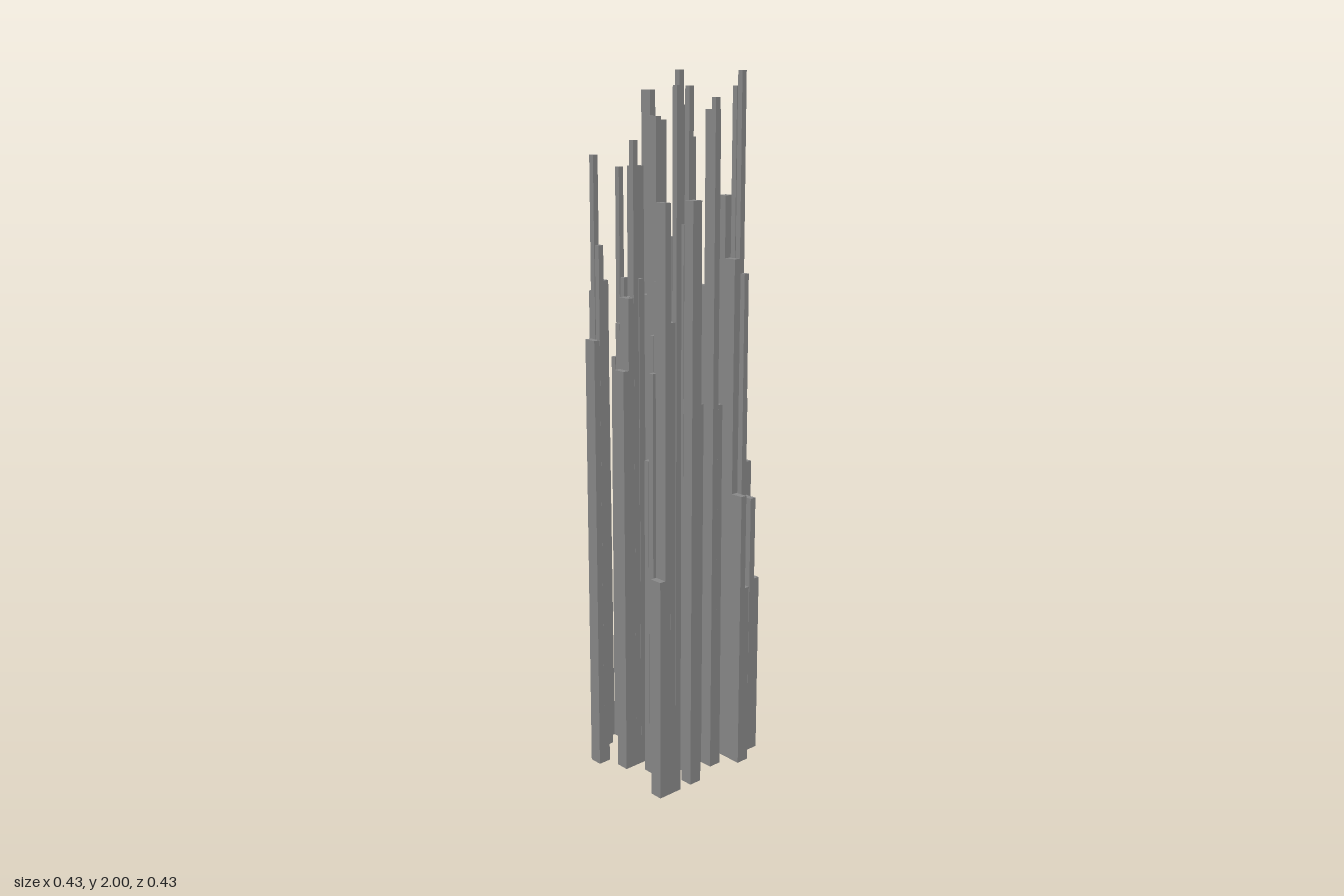
import * as THREE from 'three';

const CELL = 0.0387;
const HALF = CELL / 2;
const TAPER = 0.82;

// Each entry: grid column, grid row, then heights.
const blocks = [[6, 0, 0.94], [7, 1, 1.37], [4, 2, 1.13]];
const spires = [[3, 0, 1.13], [3, 3, 1.2], [9, 3, 1.82], [3, 4, 1.75], [8, 8, 1.67], [3, 10, 1.67]];
// Left half, right half
const pairs = [
  [8, 0, 1.95, 1.43], [2, 1, 1.4, 1.43], [10, 2, 1.5, 1.55], [8, 3, 1.45, 1.86],
  [5, 4, 1.88, 1.87], [10, 4, 1.4, 1.14], [1, 5, 1.2, 1.4], [6, 6, 1.2, 0.8],
  [5, 8, 1.0, 1.1], [10, 8, 1.09, 0.9], [10, 9, 0.8, 0.55], [0, 10, 0.65, 1.67],
];
// Left half, right back quarter, right front quarter
const triples = [
  [0, 3, 1.28, 1.78, 1.54], [4, 7, 1.2, 1.3, 1.1], [8, 7, 1.2, 1.4, 1.3],
  [10, 7, 1.09, 1.78, 1.1], [6, 9, 1.9, 1.93, 1.1], [8, 9, 1.5, 1.96, 2.0],
  [8, 10, 0.83, 1.46, 0.55], [9, 8, 1.36, 1.46, 1.36],
];
// Left back, left front, right back, right front quarters
const quads = [
  [4, 1, 1.2, 1.3, 1.74, 1.43], [7, 4, 1.2, 1.37, 1.3, 1.91], [8, 4, 1.5, 1.4, 1.3, 1.6],
  [2, 5, 1.4, 1.82, 1.2, 1.45], [2, 7, 0.95, 1.2, 1.3, 1.45], [4, 8, 2.0, 1.6, 1.2, 1.5],
  [4, 9, 1.96, 1.15, 0.9, 1.1], [1, 10, 1.5, 1.36, 1.58, 1.96],
];

export function createModel() {
  const model = new THREE.Group();
  model.name = 'towerCluster';
  const concrete = new THREE.MeshStandardMaterial({ color: 0x8a8a8a });
  concrete.name = 'concrete grey';
  const light = new THREE.MeshStandardMaterial({ color: 0xe0d020 });
  light.name = 'window yellow';

  // One shaft, optionally narrowing towards its top
  function shaft(name, x, z, w, d, h, scale = 1) {
    const geo = new THREE.BoxGeometry(w, h, d).translate(0, h / 2, 0);
    const p = geo.attributes.position;
    for (let i = 0; i < p.count; i++) {
      if (p.getY(i) > h / 2) p.setXYZ(i, p.getX(i) * scale, h, p.getZ(i) * scale);
    }
    geo.computeVertexNormals();
    const mesh = new THREE.Mesh(geo, concrete);
    mesh.name = name;
    mesh.position.set(x, 0, z);
    model.add(mesh);
  }
  const at = (i) => (i - 5) * CELL;
  const q = HALF / 2;
  const quarter = (c, r, sx, sz, h) =>
    shaft('quarterTower', at(c) + sx * q, at(r) + sz * q, HALF, HALF, h, TAPER);
  const half = (c, r, sx, h) => shaft('halfTower', at(c) + sx * q, at(r), HALF, CELL, h);

  for (const [c, r, h] of blocks) shaft('blockTower', at(c), at(r), CELL, CELL, h);
  for (const [c, r, h] of spires) shaft('taperedTower', at(c), at(r), CELL, CELL, h, TAPER);
  for (const [c, r, left, right] of pairs) {
    half(c, r, -1, left);
    half(c, r, 1, right);
  }
  for (const [c, r, left, back, front] of triples) {
    half(c, r, -1, left);
    quarter(c, r, 1, -1, back);
    quarter(c, r, 1, 1, front);
  }
  for (const [c, r, lb, lf, rb, rf] of quads) {
    quarter(c, r, -1, -1, lb);
    quarter(c, r, -1, 1, lf);
    quarter(c, r, 1, -1, rb);
    quarter(c, r, 1, 1, rf);
  }

  // Small lit windows up the front of one slim tower
  for (let i = 0; i < 9; i++) {
    const win = new THREE.Mesh(new THREE.BoxGeometry(0.006, 0.008, 0.002), light);
    win.name = 'litWindow';
    win.position.set(at(4) - q + (i % 2 ? 0.003 : -0.003), 1.17 + i * 0.052, at(9) - q + 0.0087);
    model.add(win);
  }
  // Lit window strips on the sides of neighbouring towers
  for (const [x, y, z] of [[at(8) + 0.0165, 1.59, at(8)], [at(8) + 0.0182, 1.63, at(9) + q], [at(8) + 0.0185, 1.44, at(9) + q]]) {
    const strip = new THREE.Mesh(new THREE.BoxGeometry(0.002, 0.006, 0.013), light);
    strip.name = 'litWindowStrip';
    strip.position.set(x, y, z);
    model.add(strip);
  }
  return model;
}
